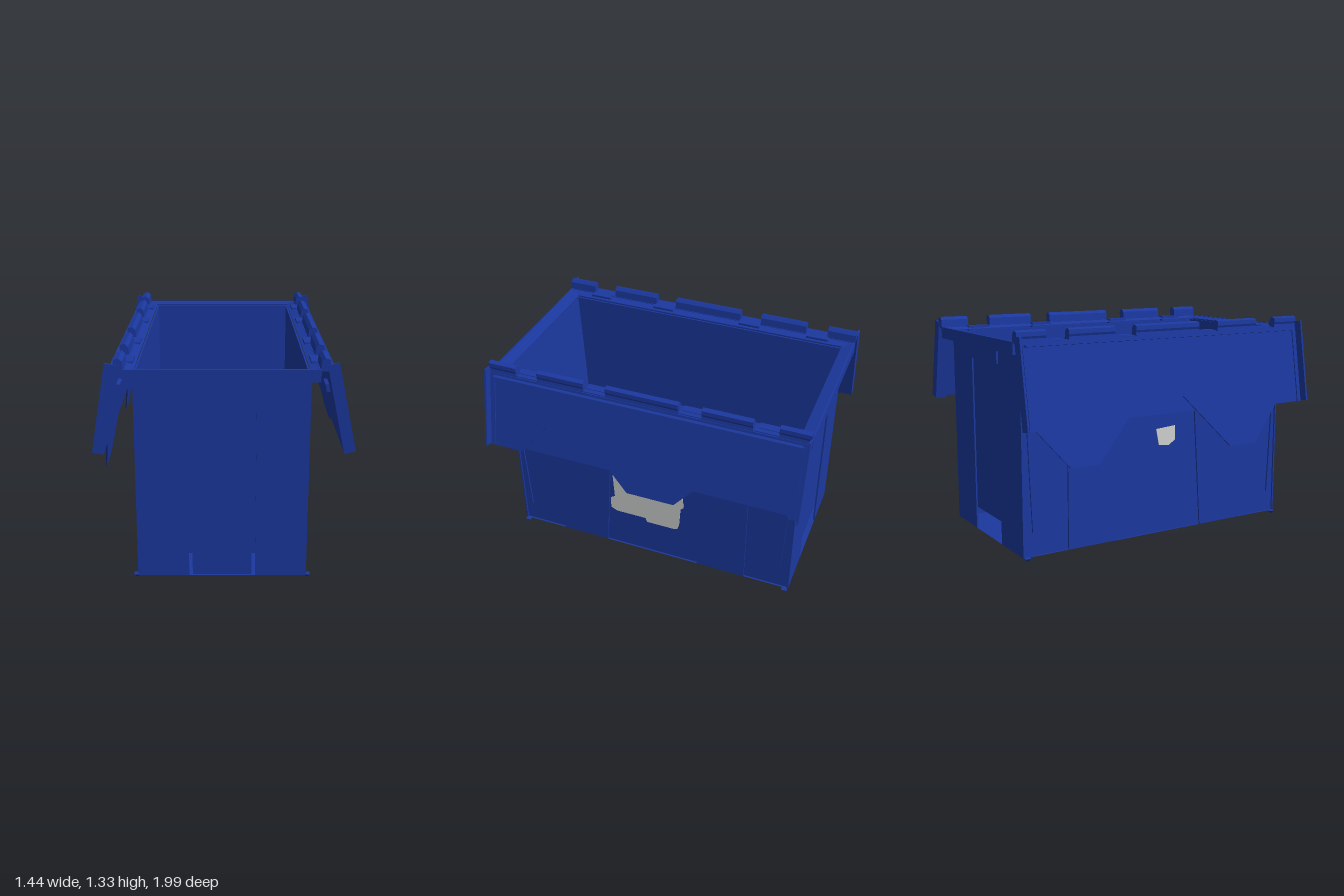
import * as THREE from 'three';
import { mergeGeometries } from 'three/addons/utils/BufferGeometryUtils.js';

const blue = new THREE.MeshStandardMaterial({ color: 0x1b389f, side: THREE.DoubleSide });
blue.name = 'blue plastic';
const grey = new THREE.MeshStandardMaterial({ color: 0xd0d2d3, side: THREE.DoubleSide });
grey.name = 'grey label';

const HX = 0.485, HZ = 0.93; // half width and half length of the tub
const KNUCKLES = [[0.81, 0.99], [0.37, 0.67], [-0.22, 0.23], [-0.66, -0.36], [-0.99, -0.81]];

function add(parent, name, geometry, material = blue) {
  const mesh = new THREE.Mesh(geometry, material);
  mesh.name = name;
  parent.add(mesh);
  return mesh;
}

function box(parent, name, w, h, d, x, y, z) {
  return add(parent, name, new THREE.BoxGeometry(w, h, d).translate(x, y, z));
}

function extrude(points, depth) {
  const shape = new THREE.Shape(points.map(p => new THREE.Vector2(...p)));
  return new THREE.ExtrudeGeometry(shape, { depth, bevelEnabled: false });
}

// Plate facing x, outlined by [z, y] points, from x0 to x0 + depth
const sidePlate = (points, depth, x0) =>
  extrude(points, depth).rotateY(-Math.PI / 2).translate(x0 + depth, 0, 0);

// Flat four-cornered sheet
function quad(a, b, c, d) {
  const g = new THREE.BufferGeometry();
  g.setAttribute('position', new THREE.Float32BufferAttribute([a, b, c, a, c, d].flat(), 3));
  g.computeVertexNormals();
  return g;
}

const rect = (x, y0, y1) => [[-x, y0], [x, y0], [x, y1], [-x, y1]];

// Horizontal rectangle, and the four mitred sheets joining two of them
const ring = (x, y, z) => [[x, y, z], [x, y, -z], [-x, y, -z], [-x, y, z]];
const mitred = (outer, inner) => mergeGeometries([0, 1, 2, 3].map(i => {
  const j = (i + 1) % 4;
  return quad(outer[i], outer[j], inner[j], inner[i]);
}));

// One end of the tub, facing +z
function makeEnd(name, isBack) {
  const end = new THREE.Group();
  end.name = name;
  const wall = [[-HX, 0.025], [-0.19, 0.025], [-0.19, 1.11], [0.19, 1.11],
    [0.19, 0.025], [HX, 0.025], [HX, 1.245], [-HX, 1.245]];
  add(end, 'endWall', extrude(wall, 0.01).translate(0, 0, HZ - 0.01));
  // Recessed panel: slit beside its foot in front, open hand hole at the back
  const panel = isBack ? rect(0.19, 0.16, 1.12)
    : [[-0.17, 0.02], [0.17, 0.02], [0.17, 0.16], [0.19, 0.16],
      [0.19, 1.12], [-0.19, 1.12], [-0.19, 0.16], [-0.17, 0.16]];
  add(end, 'recessedPanel', extrude(panel, 0.006).translate(0, 0, HZ - 0.016));
  box(end, 'header', 0.4, 0.1, 0.012, 0, 1.16, HZ + 0.005);
  // Tapered inner lining
  add(end, 'innerLining', quad([-HX, 0.165, 0.867], [HX, 0.165, 0.867],
    [HX, 1.245, 0.912], [-HX, 1.245, 0.912]));
  return end;
}

// Hanging lid half; edge is the free edge as [z, y], from +z to -z
function makeLid(edge, tilt) {
  const lid = new THREE.Group();
  lid.name = 'lid';
  const top = 1.29, len = 0.51;
  lid.position.set(0.562, top, 0);
  lid.rotation.z = tilt;
  const toLid = ([z, y]) => [z, (y - top) / Math.cos(tilt)];
  // Straight panel, overlaid by a plate whose tongues reach past it
  add(lid, 'lidPanel', sidePlate(rect(0.985, 0.807, 1.265).map(toLid), 0.006, 0));
  const outline = [[0.985, 1.265], [0.985, 0.79], ...edge, [-0.985, 0.79], [-0.985, 1.265]];
  add(lid, 'lidTonguePlate', sidePlate(outline.map(toLid), 0.008, 0.006));
  box(lid, 'lidTopRib', 0.045, 0.01, 1.9, 0.0225, -0.045, 0);
  for (const [a, b] of KNUCKLES) {
    box(lid, 'hingeTab', 0.01, 0.04, b - a, 0.005, -0.01, (a + b) / 2);
  }
  for (const s of [1, -1]) {
    box(lid, 'lidEndFlange', 0.065, len, 0.012, 0.0325, 0.006 - len / 2, s * 0.989);
    box(lid, 'lidEndRib', 0.014, len - 0.05, 0.01, 0.014, -len / 2 - 0.02, s * 0.955);
    box(lid, 'lidCatch', 0.022, 0.045, 0.12, -0.01, -0.175, s * 0.75);
  }
  return lid;
}

// One long side of the tub with its hinge, label and lid, facing +x
function makeSide(name, edge, tilt, label) {
  const side = new THREE.Group();
  side.name = name;
  const x = HX - 0.01;
  box(side, 'sideWall', 0.01, 1.22, HZ * 2, x - 0.005, 0.635, 0);
  for (const s of [1, -1]) {
    const rib = [[0.635, 0.025], [0.315, 0.025], [0.26, 0.81], [0.635, 0.81]];
    add(side, 'sideRib', sidePlate(rib.map(([z, y]) => [s * z, y]), 0.01, x));
  }
  // Torn paper label
  add(side, 'label', sidePlate(label, 0.004, x), grey);
  // Hooked hinge knuckles on a strip, with lugs in the gaps between them
  const hook = [[0.525, 1.268], [0.565, 1.268], [0.578, 1.3], [0.576, 1.325],
    [0.548, 1.333], [0.53, 1.315]];
  for (const [a, b] of KNUCKLES) {
    add(side, 'hingeKnuckle', extrude(hook, b - a).translate(0, 0, a));
  }
  box(side, 'hingeStrip', 0.05, 0.01, 1.97, 0.545, 1.265, 0);
  for (const z of [-0.75, -0.3, 0.3, 0.75]) {
    box(side, 'hingeLug', 0.05, 0.03, 0.14, 0.515, 1.258, z);
  }
  side.add(makeLid(edge, tilt));
  return side;
}

export function createModel() {
  const model = new THREE.Group();
  model.name = 'storageCrate';
  const crate = new THREE.Group();
  crate.name = 'crate';
  crate.position.x = -0.01;
  model.add(crate);

  // Floor, and a shallow underside sloping down to a flat centre
  add(crate, 'floor', new THREE.PlaneGeometry(HX * 2, HZ * 2)
    .rotateX(-Math.PI / 2).translate(0, 0.026, 0));
  const pan = ring(0.19, 0.002, 0.63);
  add(crate, 'undersideSlopes', mitred(ring(HX, 0.025, HZ), pan));
  add(crate, 'undersideCentre', quad(...pan));

  crate.add(makeEnd('frontEnd', false));
  const back = makeEnd('backEnd', true);
  back.rotation.y = Math.PI;
  crate.add(back);

  // Rim: mitred frame dipping inwards, with a skirt hanging from its outer edge
  add(crate, 'rimTop', mitred(ring(0.53, 1.27, 0.99), ring(HX - 0.01, 1.255, HZ - 0.015)));
  for (const s of [1, -1]) {
    box(crate, 'rimSideSkirt', 0.01, 0.07, 1.98, s * 0.525, 1.235, 0);
    box(crate, 'rimEndSkirt', 1.06, 0.07, 0.01, 0, 1.235, s * 0.985);
    for (const t of [1, -1]) {
      add(crate, 'cornerFoot', new THREE.CylinderGeometry(0.025, 0.006, 0.018, 4, 1, false, Math.PI / 4)
        .translate(s * 0.492, 0.016, t * 0.908));
    }
  }

  // Interlocking lid halves: one central tongue against two outer tongues
  const bigLabel = [[0.23, 0.74], [0.2, 0.77], [0.14, 0.77], [0.05, 0.75], [-0.19, 0.73],
    [-0.23, 0.69], [-0.23, 0.64], [-0.21, 0.62], [-0.22, 0.47], [-0.2, 0.45], [-0.19, 0.31],
    [-0.18, 0.28], [-0.16, 0.27], [0.03, 0.27], [0.04, 0.3], [0.24, 0.3], [0.28, 0.32],
    [0.28, 0.4], [0.25, 0.42], [0.26, 0.62], [0.23, 0.64]];
  crate.add(makeSide('leftSide', [[0.77, 0.79], [0.58, 1.015], [0.38, 1.015], [0.06, 0.69],
    [-0.24, 0.69], [-0.54, 1.015], [-0.73, 1.015], [-0.93, 0.79]], 0.21, bigLabel));
  const scrap = [[0, 0.58], [0.02, 0.68], [-0.12, 0.69], [-0.12, 0.6], [-0.07, 0.57]];
  const right = makeSide('rightSide', [[0.92, 0.79], [0.73, 0.57], [0.55, 0.57], [0.24, 0.9],
    [-0.06, 0.9], [-0.38, 0.57], [-0.58, 0.57], [-0.77, 0.79]], 0.165, scrap);
  right.rotation.y = Math.PI;
  crate.add(right);
  return model;
}
